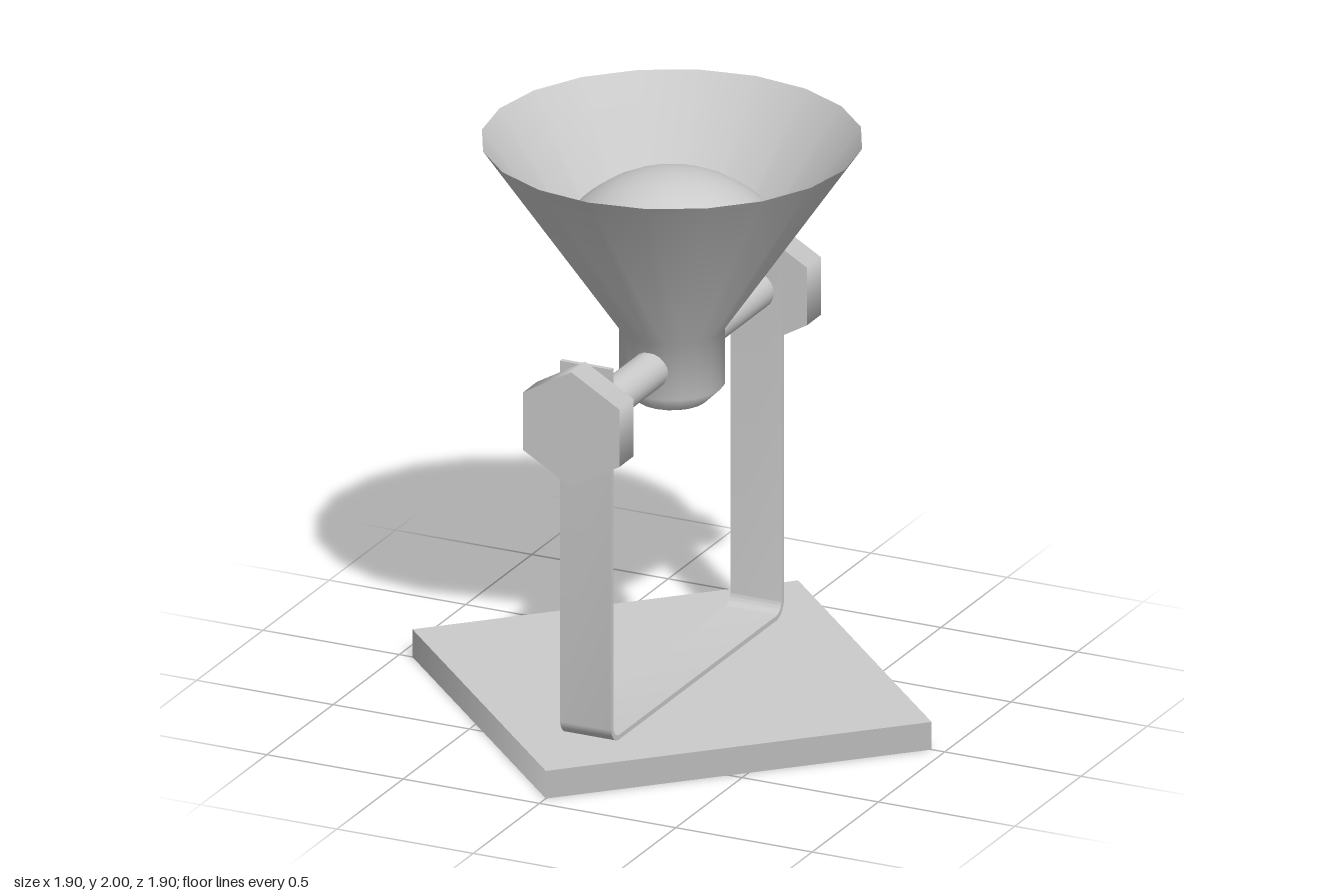
import * as THREE from 'three';
import { mergeGeometries, toCreasedNormals } from 'three/addons/utils/BufferGeometryUtils.js';

export function createModel() {
  const model = new THREE.Group();
  model.name = 'tiltingLamp';
  const grey = new THREE.MeshStandardMaterial({ color: 0xcccccc });
  const greyThin = new THREE.MeshStandardMaterial({ color: 0xcccccc, side: THREE.DoubleSide });

  const add = (name, geometry, material = grey) => {
    const mesh = new THREE.Mesh(geometry, material);
    mesh.name = name;
    model.add(mesh);
    return mesh;
  };
  const lathe = (points) =>
    new THREE.LatheGeometry(points.map(([x, y]) => new THREE.Vector2(x, y)), 20);

  // Square base, corners along the axes: a plate with a skirt, open underneath
  const baseHeight = 0.098;
  add('base', mergeGeometries([
    new THREE.CylinderGeometry(0.952, 0.952, baseHeight, 4, 1, true).translate(0, baseHeight / 2, 0),
    new THREE.CircleGeometry(0.952, 4).rotateX(-Math.PI / 2).translate(0, baseHeight, 0),
  ]), greyThin);

  // Bent strip: a U with rounded lower corners, drawn in the z-y plane
  const top = 1.43, floor = baseHeight, half = 0.652, t = 0.017, r = 0.06;
  const u = new THREE.Shape();
  u.moveTo(-half, top);
  u.lineTo(-half, floor + r);
  u.absarc(-half + r, floor + r, r, Math.PI, Math.PI * 1.5, false);
  u.absarc(half - r, floor + r, r, -Math.PI / 2, 0, false);
  u.lineTo(half, top);
  u.lineTo(half - t, top);
  u.absarc(half - r, floor + r, r - t, 0, -Math.PI / 2, true);
  u.absarc(-half + r, floor + r, r - t, Math.PI * 1.5, Math.PI, true);
  u.lineTo(-half + t, top);
  u.closePath();
  const strip = new THREE.ExtrudeGeometry(u, { depth: 0.188, bevelEnabled: false, curveSegments: 6 });
  strip.translate(0, 0, -0.094).rotateY(Math.PI / 2);
  add('bracket', toCreasedNormals(strip, 0.6));

  // Pivot rod with a six-sided knob at each end
  const pivotY = 1.24;
  const rod = new THREE.CylinderGeometry(0.065, 0.065, 1.3, 20).rotateX(Math.PI / 2);
  add('pivotRod', rod).position.y = pivotY;
  for (const side of [1, -1]) {
    const knob = new THREE.CylinderGeometry(0.204, 0.204, 0.106, 6).rotateX(Math.PI / 2);
    add(side > 0 ? 'frontKnob' : 'backKnob', knob).position.set(0, pivotY, side * 0.708);
  }

  // Open shade running down into a straight socket with a shallow end cap
  add('shade', lathe([[0.118, 1.085], [0.177, 1.143], [0.177, 1.34], [0.633, 2]]), greyThin);
  add('socketEnd', lathe([[0, 1.052], [0.118, 1.085]]), greyThin);

  // Shallow domed bulb filling the shade from wall to wall
  const R = 0.45;
  const dome = new THREE.SphereGeometry(R, 20, 10, 0, Math.PI * 2, 0, Math.asin(0.383 / R));
  add('bulb', dome, greyThin).position.y = 1.88 - R;

  return model;
}
